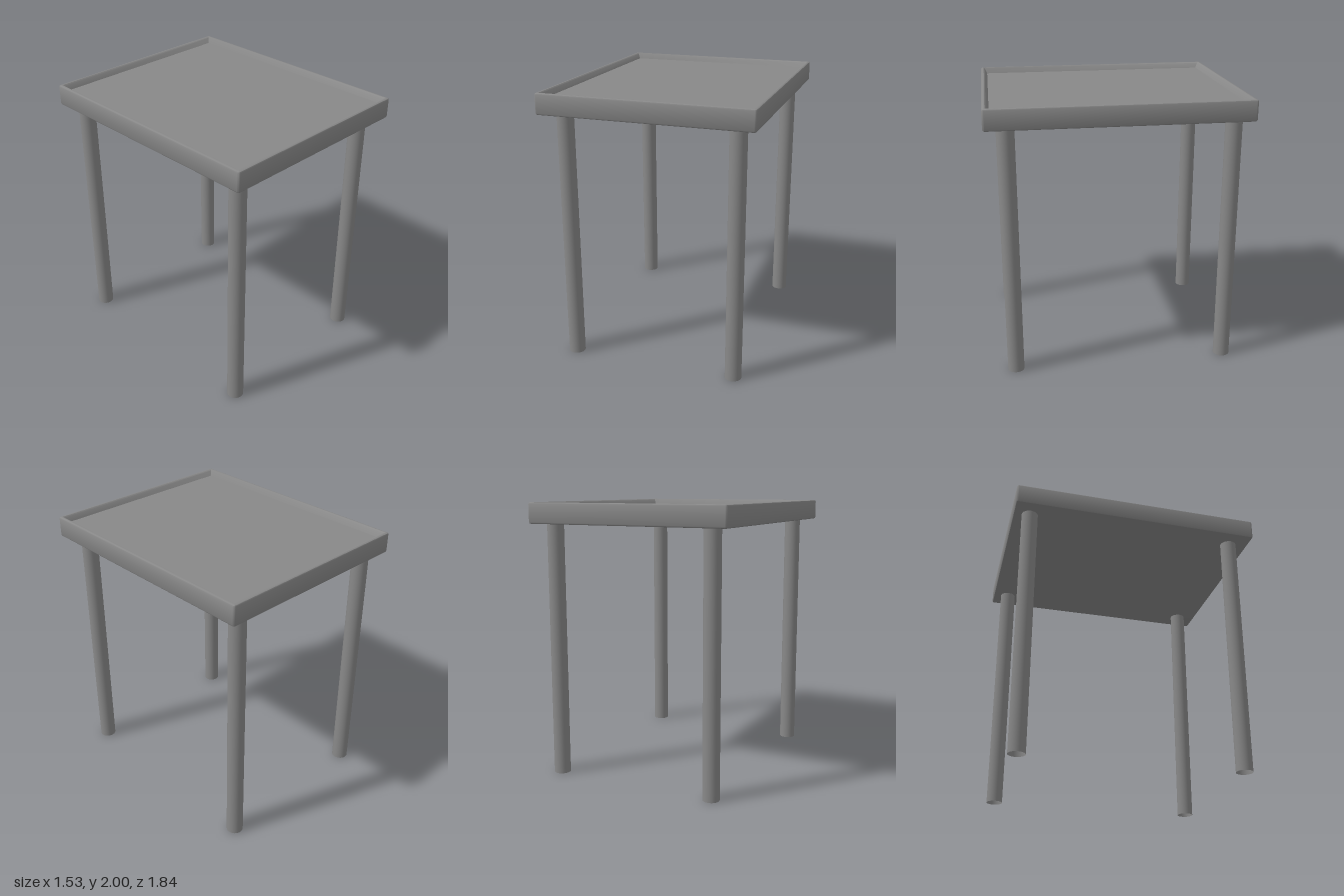
import * as THREE from 'three';
import { toCreasedNormals } from 'three/addons/utils/BufferGeometryUtils.js';

const HALF_X = 0.765, HALF_Z = 0.92;
const CORNER_STEPS = 4;

// Rounded rectangle, counter-clockwise seen from above
function ring(inset, y, radius) {
  const points = [];
  const cx = HALF_X - inset - radius, cz = HALF_Z - inset - radius;
  [[1, 1], [1, -1], [-1, -1], [-1, 1]].forEach(([sx, sz], corner) => {
    for (let i = 0; i <= CORNER_STEPS; i++) {
      const a = Math.PI / 2 * (1 - corner) - Math.PI / 2 * (1 - i / CORNER_STEPS);
      // angle sweeps each corner from its +z-most side onward
      const t = -a + Math.PI / 2 * (1 - corner) + corner * -Math.PI / 2;
      points.push(sx * cx + radius * Math.cos(t), y, sz * cz + radius * Math.sin(t));
    }
  });
  return points;
}

// Joins the rings in order and closes both ends
function loft(rings) {
  const n = rings[0].length / 3;
  const positions = rings.flat();
  const index = [];
  for (let r = 0; r < rings.length - 1; r++) {
    for (let i = 0; i < n; i++) {
      const j = (i + 1) % n;
      const a = r * n + i, b = r * n + j, c = a + n, d = b + n;
      index.push(a, b, d, a, d, c);
    }
  }
  const last = (rings.length - 1) * n;
  for (let i = 1; i < n - 1; i++) {
    index.push(0, i + 1, i);
    index.push(last, last + i, last + i + 1);
  }
  const geometry = new THREE.BufferGeometry();
  geometry.setAttribute('position', new THREE.Float32BufferAttribute(positions, 3));
  geometry.setIndex(index);
  return toCreasedNormals(geometry, Math.PI / 5);
}

export function createModel() {
  const group = new THREE.Group();
  const grey = new THREE.MeshStandardMaterial({ color: 0x888888, side: THREE.DoubleSide });
  grey.name = 'grey';

  // Tray top: underside, softened outer wall, rim, sloped inner wall, floor
  const tray = new THREE.Mesh(loft([
    ring(0.012, 1.85, 0.006),
    ring(0.004, 1.854, 0.012),
    ring(0, 1.862, 0.015),
    ring(0, 1.988, 0.015),
    ring(0.004, 1.996, 0.012),
    ring(0.012, 2, 0.006),
    ring(0.022, 2, 0.003),
    ring(0.03, 1.993, 0.003),
    ring(0.048, 1.957, 0.003),
  ]), grey);
  tray.name = 'trayTop';
  group.add(tray);

  // Four hollow legs, open at the foot
  const legGeometry = new THREE.CylinderGeometry(0.06, 0.06, 1.86, 32, 1, true);
  for (const [end, z] of [['front', 0.77], ['back', -0.8]]) {
    for (const [side, x] of [['Left', 0.615], ['Right', -0.615]]) {
      const leg = new THREE.Mesh(legGeometry, grey);
      leg.name = `${end}${side}Leg`;
      leg.position.set(x, 0.93, z);
      group.add(leg);
    }
  }
  return group;
}
